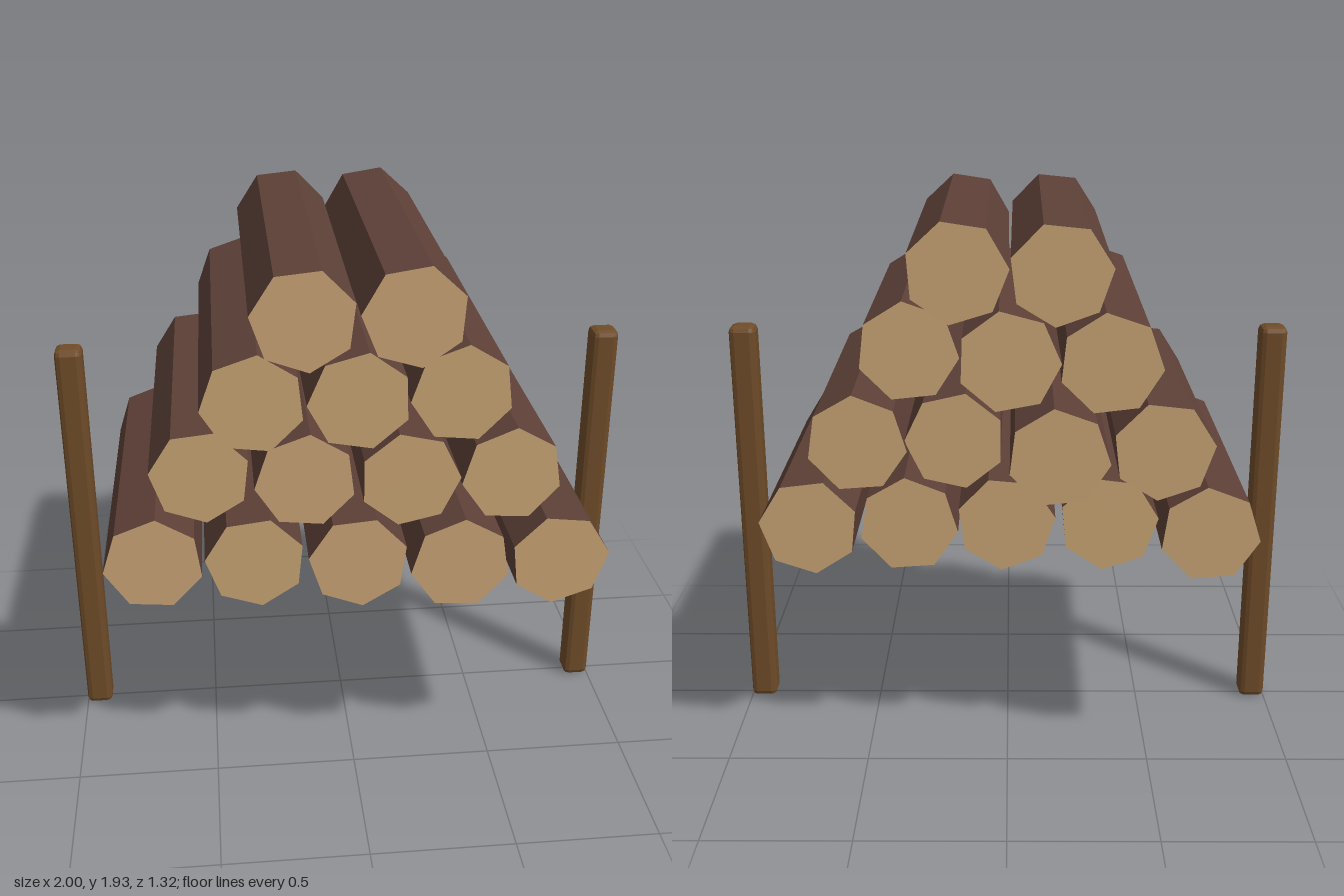
import * as THREE from 'three';
import { RoundedBoxGeometry } from 'three/addons/geometries/RoundedBoxGeometry.js';

const flat = (name, color) => {
  const m = new THREE.MeshStandardMaterial({ color, flatShading: true });
  m.name = name;
  return m;
};

// Each log: front centre x, y, front z, back z, angle of one corner (degrees),
// and the slight drift of the back end in x and y.
const ROWS = [
  [
    [-0.68, 0.91, 0.565, -0.59, 85, 0.006, -0.006],
    [-0.342, 0.905, 0.575, -0.51, -83, 0, 0.008],
    [0, 0.907, 0.61, -0.49, -85, 0.004, -0.004],
    [0.336, 0.907, 0.655, -0.51, 86, -0.004, 0],
    [0.674, 0.9, 0.645, -0.525, 6, -0.006, 0.003],
  ],
  [
    [-0.513, 1.198, 0.51, -0.62, -84, 0.006, 0.006],
    [-0.171, 1.197, 0.57, -0.66, 84, 0.004, -0.004],
    [0.17, 1.197, 0.59, -0.49, 0, 0.004, 0],
    [0.505, 1.203, 0.6, -0.525, 86, -0.008, -0.006],
  ],
  [
    [-0.338, 1.496, 0.62, -0.63, 83, 0.008, 0],
    [0, 1.49, 0.615, -0.605, -75, -0.006, 0.006],
    [0.33, 1.496, 0.6, -0.505, 84, -0.008, 0.008],
  ],
  [
    [-0.176, 1.774, 0.645, -0.58, 70, 0.006, -0.004],
    [0.166, 1.774, 0.64, -0.568, 73, -0.006, 0],
  ],
];

export function createModel() {
  const model = new THREE.Group();
  model.name = 'logStack';
  const bark = flat('bark', 0x5d4037);
  const cutWood = flat('cutWood', 0xc8a474);
  const postWood = flat('postWood', 0x6f4c29);

  // Seven-sided logs stacked in a pyramid
  ROWS.forEach((row, i) => {
    const layer = new THREE.Group();
    layer.name = `logRow${i + 1}`;
    row.forEach(([x, y, front, back, corner, dx, dy]) => {
      const length = front - back;
      const geometry = new THREE.CylinderGeometry(0.168, 0.168, length, 7)
        .rotateX(Math.PI / 2)
        .rotateZ(THREE.MathUtils.degToRad(corner + 90));
      const log = new THREE.Mesh(geometry, [bark, cutWood, cutWood]);
      log.name = 'log';
      log.position.set(x + dx / 2, y + dy / 2, (front + back) / 2);
      log.rotation.set(dy / length, -dx / length, 0);
      layer.add(log);
    });
    model.add(layer);
  });

  // Chamfered upright posts either side
  for (const side of [-1, 1]) {
    const post = new THREE.Mesh(new RoundedBoxGeometry(0.095, 1.476, 0.095, 1, 0.02), postWood);
    post.name = side < 0 ? 'rightPost' : 'leftPost';
    post.position.set(side * 0.9525, 0.738, 0.005);
    model.add(post);
  }
  return model;
}
